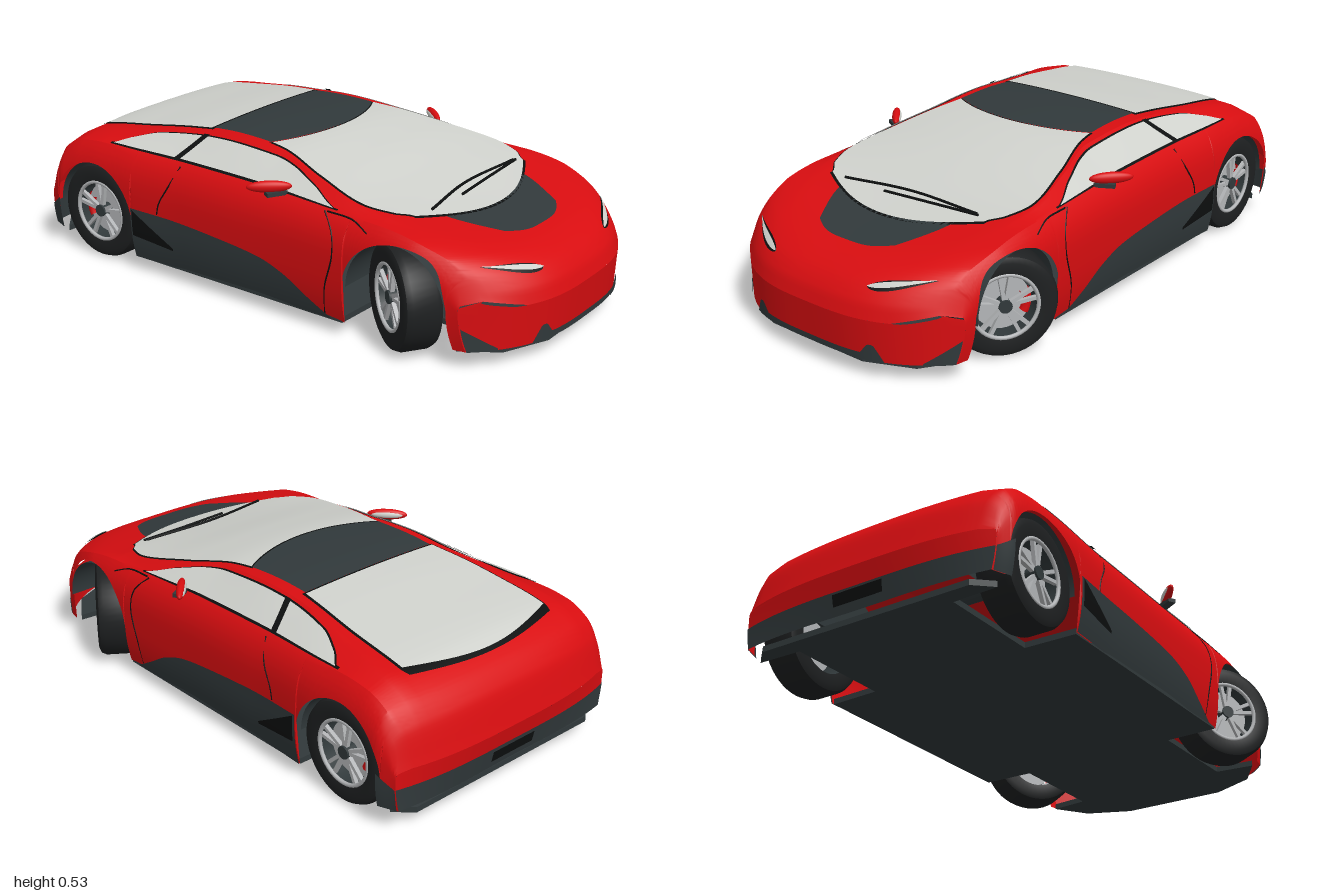
import * as THREE from 'three';
import { toCreasedNormals } from 'three/addons/utils/BufferGeometryUtils.js';

const mat = (name, color) => new THREE.MeshStandardMaterial({ name, color, side: THREE.DoubleSide });
const { lerp, clamp } = THREE.MathUtils;

// Smooth monotone curve through [position, value] pairs
function key(...p) {
  const n = p.length, d = [], m = [];
  for (let i = 0; i < n - 1; i++) d.push((p[i + 1][1] - p[i][1]) / (p[i + 1][0] - p[i][0]));
  for (let i = 0; i < n; i++) {
    const a = d[Math.max(i - 1, 0)], b = d[Math.min(i, n - 2)];
    m.push(a * b > 0 ? (2 * a * b) / (a + b) : 0);
  }
  return (v) => {
    v = clamp(v, p[0][0], p[n - 1][0]);
    let i = 0;
    while (i < n - 2 && v > p[i + 1][0]) i++;
    const h = p[i + 1][0] - p[i][0], t = (v - p[i][0]) / h, t2 = t * t, t3 = t2 * t;
    return (2 * t3 - 3 * t2 + 1) * p[i][1] + (t3 - 2 * t2 + t) * h * m[i] +
      (3 * t2 - 2 * t3) * p[i + 1][1] + (t3 - t2) * h * m[i + 1];
  };
}

// Body lines along z: half width, shoulder, roof rail and centre line
const W = key([-1, .485], [-.9, .51], [-.6, .51], [-.3, .5], [0, .5], [.3, .505], [.55, .51], [.7, .51], [1, .47]);
const ys = key([-1, .22], [-.96, .33], [-.9, .39], [-.8, .425], [-.7, .435], [-.4, .43], [0, .422], [.2, .415],
  [.4, .407], [.55, .4], [.7, .385], [.85, .35], [.93, .31], [1, .23]);
const xr = key([-1, .38], [-.8, .38], [-.6, .36], [-.3, .325], [0, .325], [.2, .375], [.4, .412], [.55, .4], [.8, .33], [1, .3]);
const yr = key([-1, .22], [-.96, .34], [-.9, .405], [-.8, .447], [-.6, .478], [-.4, .503], [-.2, .515], [0, .505],
  [.2, .467], [.4, .428], [.55, .406], [.7, .382], [.85, .345], [.93, .305], [.98, .25], [1, .2]);
const yc = key([-1, .22], [-.96, .35], [-.9, .412], [-.8, .456], [-.6, .486], [-.4, .511], [-.2, .524], [0, .518],
  [.2, .486], [.4, .436], [.55, .4], [.7, .368], [.85, .335], [.93, .3], [.98, .25], [1, .2]);

const AXLES = [[.575, -.6], [-.715, 0]], ARCH = .186, HUB = .176;
// Rounds the nose and tail in plan
const bow = (z, x) => {
  const a = Math.abs(x);
  if (z > .5) return z - .4 * (z - .5) * (a / .47) ** 3;
  return z < -.8 ? z + .25 * (-.8 - z) * (a / .48) ** 3 : z;
};
const sideX = (z, y) => y < .2 ? W(z) - .02 * ((.2 - y) / .15) ** 2
  : W(z) - .05 * clamp((y - .2) / (ys(z) - .2), 0, 1) ** 4;
const topY = (z, x) => {
  const a = Math.abs(x), r = xr(z);
  return a > r ? lerp(yr(z), ys(z), (a - r) / (W(z) - .05 - r)) : yr(z) + (yc(z) - yr(z)) * (1 - (a / r) ** 2);
};
const baseY = (z) => z < -.85 ? .08 : z > .7 ? .062 : .052;
const sillY = (z) => {
  const rz = bow(z, W(z));
  for (const [c] of AXLES) if (Math.abs(rz - c) < ARCH) return HUB + Math.sqrt(ARCH ** 2 - (rz - c) ** 2);
  return baseY(rz);
};

// Surface from a rule over u, v in 0..1
function grid(fn, nu, nv) {
  const pos = [], idx = [];
  for (let i = 0; i <= nu; i++) for (let j = 0; j <= nv; j++) pos.push(...fn(i / nu, j / nv));
  for (let i = 0; i < nu; i++) for (let j = 0; j < nv; j++) {
    const a = i * (nv + 1) + j, b = a + nv + 1;
    idx.push(a, b, a + 1, b, b + 1, a + 1);
  }
  const g = new THREE.BufferGeometry();
  g.setAttribute('position', new THREE.Float32BufferAttribute(pos, 3));
  g.setIndex(idx);
  g.computeVertexNormals();
  return g;
}

export function createModel() {
  const car = new THREE.Group();
  car.name = 'sportsCar';
  const red = mat('redPaint', 0xd80d10), glass = mat('paleGlass', 0xcfd1cc), dark = mat('darkTrim', 0x31393b),
    black = mat('blackTrim', 0x0d0f0f), rubber = mat('tyreRubber', 0x1e2021), silver = mat('wheelSilver', 0xb4b6b8);
  const add = (name, geo, m, parent = car) => {
    const mesh = new THREE.Mesh(geo, m);
    mesh.name = name;
    parent.add(mesh);
    return mesh;
  };

  // Main shell, from the sill on one side over the roof to the other
  const half = (z, k) => {
    if (k <= 12) { const y = lerp(sillY(z), ys(z), k / 12); return [sideX(z, y), y]; }
    const x = k <= 17 ? lerp(W(z) - .05, xr(z), (k - 12) / 5) : xr(z) * (1 - (k - 17) / 11);
    return [x, topY(z, x)];
  };
  add('bodyShell', toCreasedNormals(grid((u, v) => {
    const z = lerp(-1, 1, u), k = Math.round(v * 56), s = k > 28 ? -1 : 1;
    const [x, y] = half(z, s > 0 ? k : 56 - k);
    return [s * x, y, bow(z, x)];
  }, 360, 56), .5), red);

  // Nose and tail faces
  const endPoint = (e, f, t, off = 0) => {
    const y = lerp(baseY(e), topY(e, f * (W(e) - .05)), t), x = f * sideX(e, y);
    return [x, y, bow(e, x) + e * (off - (e > 0 ? .012 : .03) * (1 - t) * (1 - f * f))];
  };
  const endFace = (name, e, t0, t1, m) =>
    add(name, grid((u, v) => endPoint(e, u * 2 - 1, lerp(t0, t1, v)), 40, 8), m);
  endFace('nose', 1, 0, 1, red);
  endFace('tail', -1, .55, 1, red);
  endFace('rearBumper', -1, 0, .55, dark);
  add('plateRecess', grid((u, v) => endPoint(-1, lerp(-.2, .2, u), lerp(.2, .48, v), .005), 8, 2), black);

  // Front intakes
  add('lowerIntake', grid((u, v) => endPoint(1, lerp(-.55, .55, u), lerp(.02, .17, v), .005), 30, 2), dark);
  for (const s of [1, -1]) {
    add('intakeLobe', grid((u, v) => endPoint(1, s * lerp(.41, .62, u),
      lerp(.01, .4 * Math.min(1, 2.5 * u, 2.5 * (1 - u)) + .02, v), .007), 16, 4), dark);
    add('cornerIntake', grid((u, v) => endPoint(1, s * lerp(.84, 1, u), lerp(0, .05 + .42 * u, v), .005), 10, 4), dark);
  }

  // Panels lying on the upper surface
  const panel = (name, m, z0, z1, w, lift) => add(name, grid((u, v) => {
    const f = u * 2 - 1, z = lerp(z0(f), z1(f), v), x = f * w(z);
    return [x, topY(z, x) + lift, bow(z, x)];
  }, 28, 44), m);
  const shieldW = key([-.1, .285], [0, .3], [.2, .36], [.4, .403], [.5, .375], [.56, .335], [.67, .33]);
  const roofW = key([-.34, .285], [-.1, .29], [.03, .302]);
  const rearW = key([-.87, .3], [-.8, .325], [-.6, .318], [-.33, .29]);
  const wider = (w) => (z) => w(z) + .008;
  panel('cowlPanel', dark, (f) => .65 - .05 * f * f, (f) => .82 - .04 * f ** 4,
    key([.58, .255], [.65, .235], [.82, .145]), .003);
  panel('windscreenSeal', black, (f) => .01 - .08 * f * f, (f) => .668 - .1 * f * f, (z) => shieldW(z) + .006, .003);
  panel('windscreen', glass, (f) => .02 - .08 * f * f, (f) => .66 - .1 * f * f, shieldW, .006);
  panel('roofPanel', dark, () => -.325, (f) => .014 - .08 * f * f, roofW, .0055);
  panel('rearWindowSeal', black, (f) => -.878 + .04 * f * f, () => -.322, wider(rearW), .003);
  panel('rearWindow', glass, (f) => -.865 + .06 * f * f, () => -.332, rearW, .006);

  // Wipers
  const tube = (name, pts, r, m) => add(name, new THREE.TubeGeometry(new THREE.CatmullRomCurve3(
    pts.map((p) => new THREE.Vector3(...p))), 24, r, 6), m);
  for (const path of [[[-.26, .565], [0, .525], [.29, .535]], [[-.08, .565], [.12, .55], [.3, .54]]])
    tube('wiper', path.map(([x, z]) => [x, topY(z, x) + .012, z]), .005, black);

  // Parts on both flanks
  const skirtTop = key([-.53, .24], [-.35, .235], [-.1, .217], [.05, .198], [.15, .165], [.25, .105], [.335, .055]);
  const winTop = key([-.65, .1], [-.6, .5], [-.5, .82], [-.3, .87], [.1, .84], [.2, .7], [.32, .1]);
  for (const s of [1, -1]) {
    const flank = (z, y, off = .004) => [s * (sideX(z, y) + off), y, bow(z, W(z))];
    const pillar = (z, t, off) => [s * (lerp(W(z) - .05, xr(z), t) + off), lerp(ys(z), yr(z), t) + off, z];
    add('sideSkirt', grid((u, v) => {
      const z = lerp(-.528, .335, u);
      return flank(z, lerp(sillY(z), skirtTop(z), v));
    }, 50, 10), dark);
    add('sideVent', grid((u, v) => {
      const z = lerp(-.52, -.34, u);
      return flank(z, lerp(lerp(.14, .12, u), lerp(.235, .13, u), v), .007);
    }, 12, 6), black);
    add('rearBumperSide', grid((u, v) => {
      const z = lerp(-1, -.925, u);
      return flank(z, lerp(.08, lerp(.157, .2, u), v));
    }, 12, 6), dark);
    add('sideWindowSeal', grid((u, v) => {
      const z = lerp(-.665, .335, u);
      return pillar(z, lerp(.04, winTop(z) + .05, v), .002);
    }, 60, 6), black);
    add('sideWindow', grid((u, v) => {
      const z = lerp(-.65, .32, u);
      return pillar(z, lerp(.1, winTop(z), v), .005);
    }, 60, 6), glass);
    add('doorPillar', grid((u, v) => pillar(lerp(-.37, -.345, u) + .05 * v, lerp(.05, .92, v), .007), 2, 6), black);

    // Door and bonnet seams
    const seam = (pts) => tube('panelSeam', pts.map(([z, y]) => flank(z, y, -.001)), .003, black);
    seam([[.29, .405], [.34, .35], [.35, .28], [.32, .16], [.31, .06]]);
    seam([[-.33, .42], [-.36, .35], [-.4, .28], [-.41, .24]]);
    seam([[.3, .405], [.4, .4], [.47, .375]]);

    // Slim headlamps
    for (const [name, m, h, lift] of [['headlampSurround', black, .016, .004], ['headlamp', glass, .009, .007]])
      add(name, grid((u, v) => {
        const x = lerp(.2, .39, u), z = lerp(.95, .915, u) + h * (v * 2 - 1) * Math.sin(Math.PI * u ** .7);
        return [s * x, topY(z, x) + lift, bow(z, x) + lift / 2];
      }, 20, 4), m);

    // Door mirror
    const mirror = new THREE.Group();
    mirror.name = 'doorMirror';
    mirror.position.set(s * .482, .446, .08);
    mirror.rotation.y = s * .85;
    car.add(mirror);
    add('mirrorCap', new THREE.SphereGeometry(1, 24, 14), red, mirror).scale.set(.075, .02, .016);
    add('mirrorGlass', new THREE.SphereGeometry(1, 20, 10), glass, mirror).scale.set(.062, .014, .012);
    mirror.children[1].position.z = -.006;
    const arm = add('mirrorArm', new THREE.BoxGeometry(.08, .014, .03), dark);
    arm.position.set(s * .465, .424, .1);
    arm.rotation.y = s * .5;
  }

  // Floor, notched around the wheels
  const floorHalf = [[.78, .44], [.765, .3], [.385, .3], [.38, .488], [-.525, .485], [-.53, .3], [-.9, .3], [-.905, .46]];
  const outline = [[.9, .36], [.97, .2], [.97, -.2], [.9, -.36]];
  const ring = [...floorHalf].reverse().concat(outline, floorHalf.map(([z, x]) => [z, -x]), [[-.96, -.4], [-.96, .4]]);
  const floor = new THREE.ExtrudeGeometry(new THREE.Shape(ring.map(([z, x]) => new THREE.Vector2(x, -z))),
    { depth: .02, bevelEnabled: false });
  add('floor', floor.rotateX(-Math.PI / 2).translate(0, .048, 0), dark);

  // Wheels, with the front pair steered
  const tyreProfile = [[.112, -.06], [.15, -.066], [.168, -.058], [.176, -.04], [.176, .04], [.168, .058], [.15, .066], [.112, .06]];
  const tyreGeo = toCreasedNormals(new THREE.LatheGeometry(tyreProfile.map((p) => new THREE.Vector2(...p)), 48)
    .rotateZ(-Math.PI / 2), .6);
  const disc = (r, w, n = 36) => new THREE.CylinderGeometry(r, r, w, n).rotateZ(Math.PI / 2);
  for (const [z, steer] of AXLES) for (const s of [1, -1]) {
    const wheel = new THREE.Group();
    wheel.name = z > 0 ? 'frontWheel' : 'rearWheel';
    wheel.position.set(s * .42, HUB, z);
    wheel.rotation.y = steer + (s < 0 ? Math.PI : 0);
    car.add(wheel);
    add('tyre', tyreGeo, rubber, wheel);
    add('rimBarrel', new THREE.CylinderGeometry(.112, .112, .118, 40, 1, true).rotateZ(Math.PI / 2), dark, wheel);
    add('rimLip', new THREE.TorusGeometry(.108, .007, 8, 40).rotateY(Math.PI / 2), silver, wheel).position.x = .056;
    add('brakeDisc', disc(.092, .012), silver, wheel).position.x = .012;
    add('hub', disc(.022, .06, 20), dark, wheel).position.x = .03;
    const caliper = add('brakeCaliper', new THREE.TorusGeometry(.078, .016, 8, 12, 1).rotateY(Math.PI / 2), red, wheel);
    caliper.position.x = .02;
    caliper.rotation.x = s > 0 ? -.5 : Math.PI - .5;
    for (let i = 0; i < 10; i++) {
      const spoke = add('spoke', new THREE.BoxGeometry(.014, .09, .012).translate(0, .064, 0), silver, wheel);
      spoke.position.x = .046;
      spoke.rotation.x = Math.floor(i / 2) * Math.PI * .4 + (i % 2 ? .17 : -.17);
    }
    // Axle stub and wheel arch lining
    add('axle', disc(.03, .2, 16), dark).position.set(s * .3, HUB, z);
    add('archLiner', new THREE.CylinderGeometry(ARCH, ARCH, .19, 32, 1, true, 0, Math.PI)
      .rotateZ(Math.PI / 2).translate(s * .39, HUB, z).rotateX(0), dark).visible = true;
    add('archWall', new THREE.CircleGeometry(ARCH, 32, 0, Math.PI).rotateY(Math.PI / 2), dark).position.set(s * .295, HUB, z);
  }
  return car;
}
